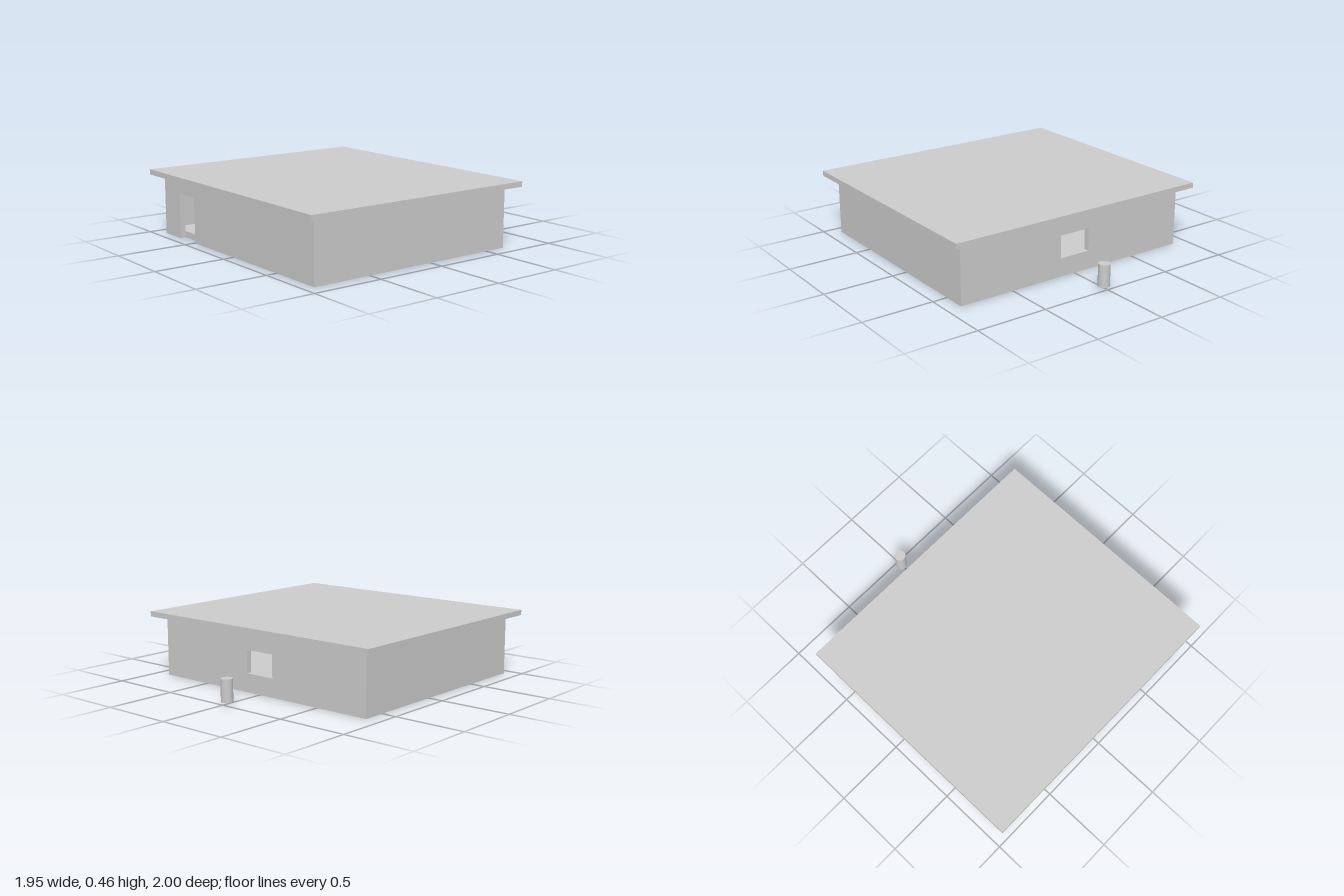
import * as THREE from 'three';

const material = new THREE.MeshStandardMaterial({ color: 0xcccccc });

// Building footprint and heights
const HALF_W = 0.895, BACK = -0.66, FRONT = 0.925;
const WALL_TOP = 0.423, ROOF_TOP = 0.46, WALL = 0.04, FLOOR = 0.045;

export function createModel() {
  const group = new THREE.Group();

  const add = (name, geometry) => {
    const mesh = new THREE.Mesh(geometry, material);
    mesh.name = name;
    group.add(mesh);
    return mesh;
  };

  // Box given by its lower and upper limits on each axis
  const box = (name, [x0, x1], [y0, y1], [z0, z1]) =>
    add(name, new THREE.BoxGeometry(x1 - x0, y1 - y0, z1 - z0))
      .position.set((x0 + x1) / 2, (y0 + y1) / 2, (z0 + z1) / 2);

  // Wall outline in x and y, extruded from z to z + WALL
  const wall = (name, shape, z) =>
    add(name, new THREE.ExtrudeGeometry(shape, { depth: WALL, bevelEnabled: false }))
      .position.z = z;
  const outline = (points) => new THREE.Shape(points.map(([x, y]) => new THREE.Vector2(x, y)));

  // Front wall with a doorway open down to the ground
  wall('frontWall', outline([
    [-HALF_W, 0], [-0.69, 0], [-0.69, 0.32], [-0.49, 0.32], [-0.49, 0],
    [HALF_W, 0], [HALF_W, WALL_TOP], [-HALF_W, WALL_TOP],
  ]), FRONT - WALL);

  // Back wall with a window opening
  const back = outline([[-HALF_W, 0], [HALF_W, 0], [HALF_W, WALL_TOP], [-HALF_W, WALL_TOP]]);
  back.holes.push(outline([[-0.115, 0.13], [-0.115, 0.29], [0.115, 0.29], [0.115, 0.13]]));
  wall('backWall', back, BACK);

  // Side walls between front and back
  const inside = [BACK + WALL, FRONT - WALL];
  box('leftWall', [HALF_W - WALL, HALF_W], [0, WALL_TOP], inside);
  box('rightWall', [-HALF_W, -HALF_W + WALL], [0, WALL_TOP], inside);

  // Floor slab within the walls, and overhanging flat roof
  box('floor', [-HALF_W + WALL, HALF_W - WALL], [0, FLOOR], inside);
  box('roof', [-0.975, 0.975], [WALL_TOP, ROOF_TOP], [-0.743, 1]);

  // Short round post standing free behind the building
  add('post', new THREE.CylinderGeometry(0.04, 0.04, 0.155, 32))
    .position.set(0, 0.0925, -0.96);

  return group;
}
